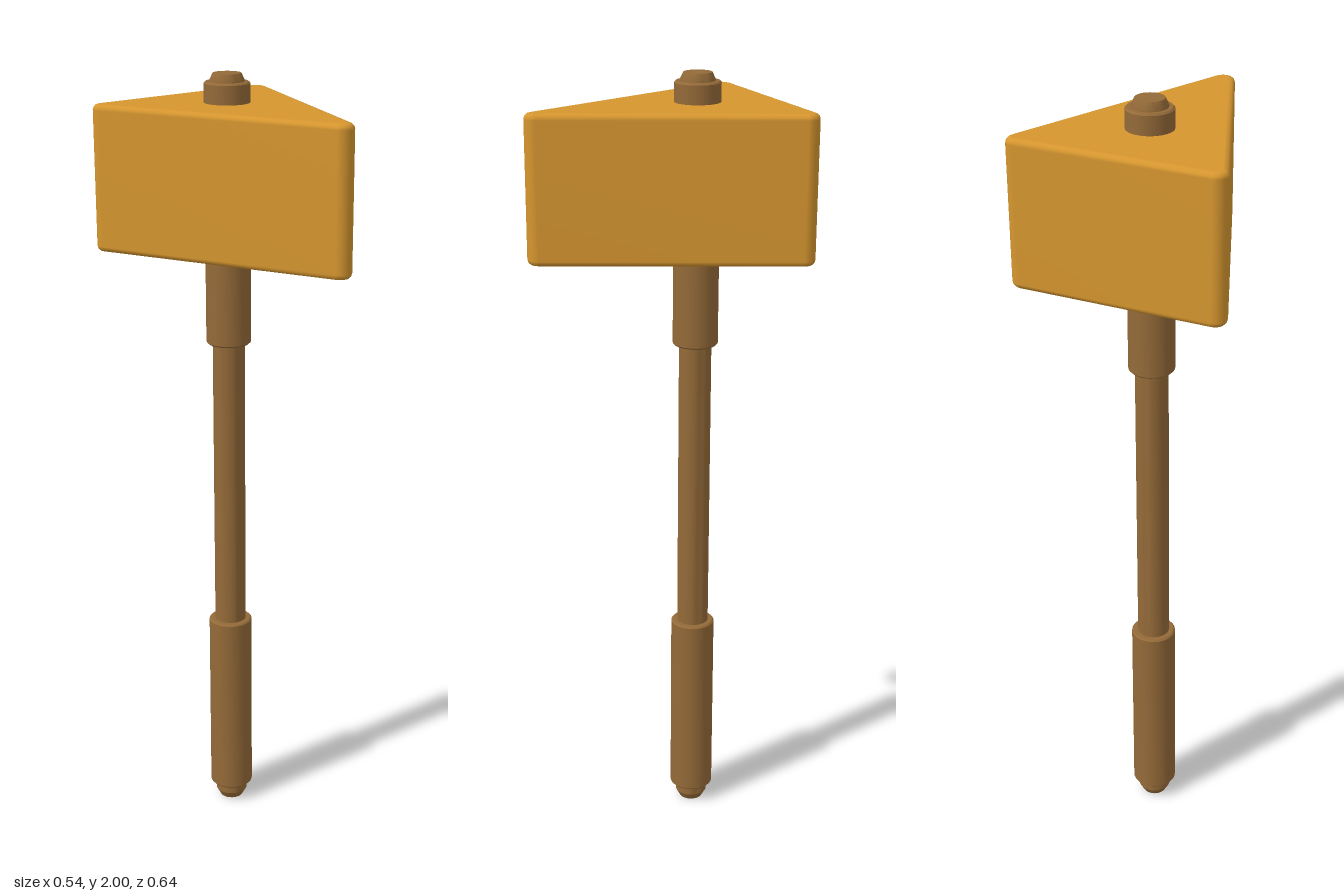
import * as THREE from 'three';
import { mergeVertices, toCreasedNormals } from 'three/addons/utils/BufferGeometryUtils.js';

const HANDLE_Z = -0.117;

// Solid turned part from [radius, height] pairs, listed bottom to top
function turned(name, profile, material) {
  const points = [[0, profile[0][1]], ...profile, [0, profile[profile.length - 1][1]]]
    .map(([r, y]) => new THREE.Vector2(r, y));
  const mesh = new THREE.Mesh(toCreasedNormals(new THREE.LatheGeometry(points, 28), 0.5), material);
  mesh.name = name;
  return mesh;
}

// Sleeve with lightly chamfered ends
function sleeve(name, radius, y0, y1, material) {
  const c = 0.004;
  return turned(name, [[radius - c, y0], [radius, y0 + c], [radius, y1 - c], [radius - c, y1]], material);
}

// Triangular block with rounded corners and bevelled rims
function wedgeGeometry() {
  const bevel = 0.014, radius = 0.029 - bevel;
  const bottom = 1.57, top = 1.93;
  const tilt = Math.atan2(0.24, 0.58);
  const shape = new THREE.Shape();
  shape.absarc(0, -0.29, radius, Math.PI + tilt, 2 * Math.PI - tilt, false);
  shape.absarc(0.24, 0.29, radius, -tilt, Math.PI / 2, false);
  shape.absarc(-0.24, 0.29, radius, Math.PI / 2, Math.PI + tilt, false);
  const geometry = new THREE.ExtrudeGeometry(shape, {
    depth: top - bottom - 2 * bevel, curveSegments: 4,
    bevelEnabled: true, bevelSize: bevel, bevelThickness: bevel, bevelSegments: 3,
  });
  geometry.rotateX(-Math.PI / 2);
  geometry.translate(0, bottom + bevel, 0);
  // Shared vertices give smooth rims while the large faces stay flat
  geometry.deleteAttribute('normal');
  geometry.deleteAttribute('uv');
  const smooth = mergeVertices(geometry, 1e-5);
  smooth.computeVertexNormals();
  return smooth;
}

export function createModel() {
  const model = new THREE.Group();
  model.name = 'wedgeHammer';

  const amber = new THREE.MeshStandardMaterial({ color: 0xd6962f });
  amber.name = 'amber';
  const wood = new THREE.MeshStandardMaterial({ color: 0x946a38 });
  wood.name = 'wood brown';

  // Head
  const head = new THREE.Mesh(wedgeGeometry(), amber);
  head.name = 'head';
  model.add(head);

  // Handle, running through the head
  const handle = new THREE.Group();
  handle.name = 'handle';
  handle.position.z = HANDLE_Z;
  handle.add(
    turned('pommel', [[0.031, 0], [0.042, 0.02], [0.042, 0.05]], wood),
    sleeve('lowerGrip', 0.057, 0.045, 0.55, wood),
    turned('shaft', [[0.041, 0.5], [0.041, 1.4]], wood),
    sleeve('upperSleeve', 0.057, 1.325, 1.98, wood),
    turned('topCap', [[0.043, 1.97], [0.043, 1.983], [0.035, 2]], wood),
  );
  model.add(handle);

  return model;
}
